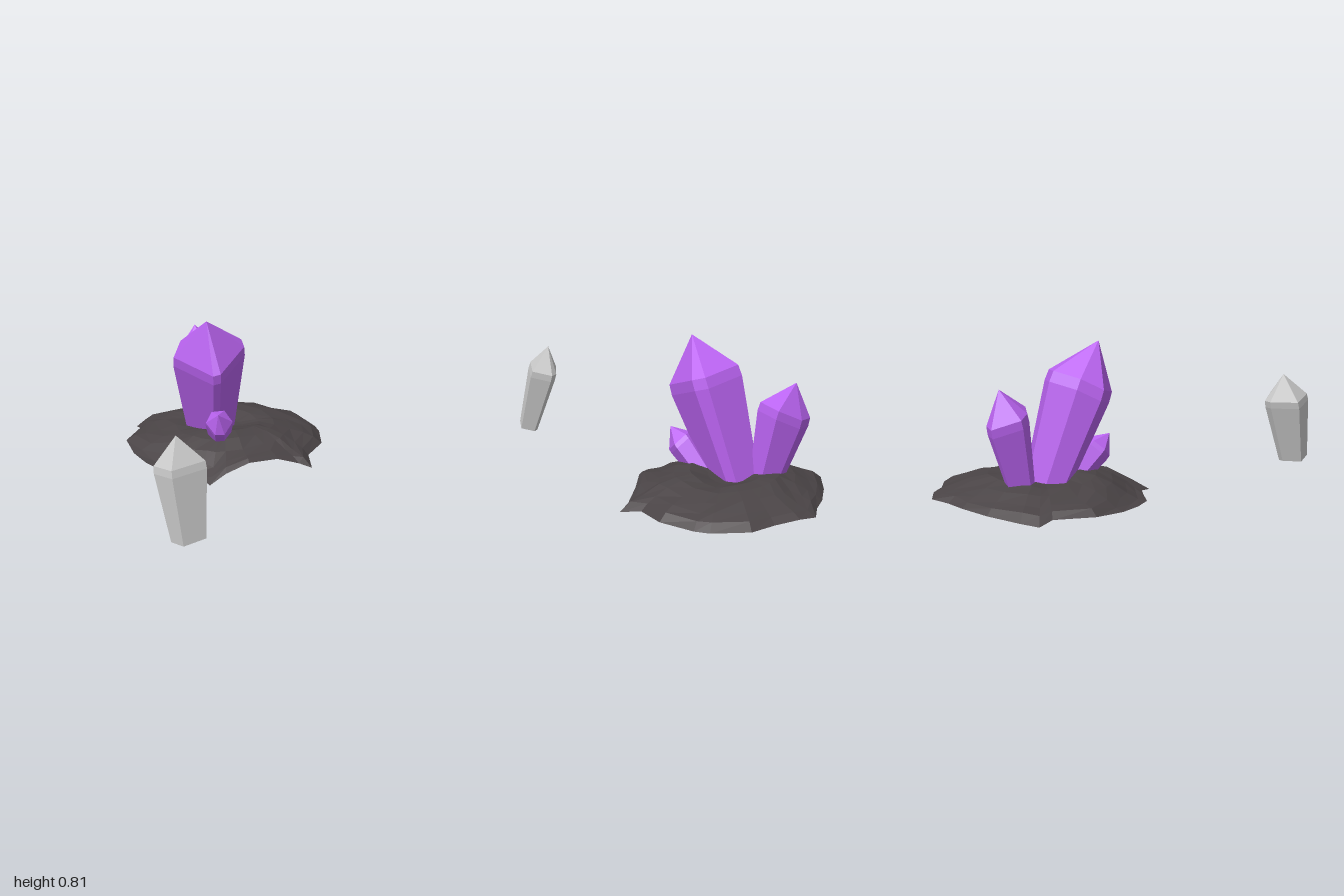
import * as THREE from 'three';

const purple = new THREE.MeshStandardMaterial({ color: 0xbb64f2, flatShading: true });
const grey = new THREE.MeshStandardMaterial({ color: 0xcccccc, flatShading: true });
const stone = new THREE.MeshStandardMaterial({ color: 0x4a4446, flatShading: true, side: THREE.DoubleSide });

function buildMesh(name, points, faces, material) {
  const geometry = new THREE.BufferGeometry();
  geometry.setAttribute('position', new THREE.Float32BufferAttribute(points.flat(), 3));
  geometry.setIndex(faces.flat());
  const flat = geometry.toNonIndexed();
  flat.computeVertexNormals();
  const mesh = new THREE.Mesh(flat, material);
  mesh.name = name;
  return mesh;
}

// Pointed crystal: apex, shoulder ring, slightly wider belt just below it, and a narrow foot
function crystal(name, material, apex, ring, foot, footScale) {
  const n = ring.length;
  const centre = [0, 1, 2].map(k => ring.reduce((sum, p) => sum + p[k], 0) / n);
  const section = (t, scale) => ring.map(p => p.map((v, k) =>
    THREE.MathUtils.lerp(centre[k], foot[k], t) + (v - centre[k]) * scale));
  const faces = [];
  for (let i = 0; i < n; i++) {
    const j = (i + 1) % n;
    faces.push([i, j, 3 * n], [2 * n + j, 2 * n + i, 3 * n + 1]);
    for (const r of [0, n]) faces.push([r + n + i, r + n + j, r + j], [r + n + i, r + j, r + i]);
  }
  return buildMesh(name, [...ring, ...section(0.1, 1.02), ...section(1, footScale), apex, foot], faces, material);
}

// Thin domed rock: the ragged rim shrinks ring by ring towards a sunken middle
function rockBase() {
  const rim = [
    [-0.555, 0.045, -0.48], [-0.52, 0.035, -0.31], [-0.46, 0.03, -0.18], [-0.385, 0.025, -0.08],
    [-0.28, 0.025, -0.03], [-0.19, 0.02, 0.02], [-0.14, 0.005, 0.10], [-0.05, 0.045, 0.05],
    [0.08, 0.08, 0], [0.24, 0.07, -0.06], [0.36, 0.03, -0.08], [0.43, 0.005, -0.07],
    [0.43, 0.03, -0.19], [0.53, 0.035, -0.34], [0.55, 0.03, -0.53], [0.54, 0.03, -0.61],
    [0.46, 0.04, -0.79], [0.34, 0.045, -0.86], [0.24, 0.055, -0.95], [0.155, 0.045, -1.0],
    [0.04, 0.045, -0.965], [-0.08, 0.045, -0.95], [-0.25, 0.04, -0.90], [-0.43, 0.035, -0.82],
    [-0.485, 0.02, -0.75], [-0.47, 0.04, -0.67],
  ];
  const n = rim.length, middle = [0, 0.11, -0.46];
  // [fraction of the rim radius, dome height, share of the rim height]
  const rings = [[1, 0, 1], [0.92, 0.048, 0.6], [0.82, 0.078, 0.3], [0.68, 0.115, 0], [0.52, 0.14, 0], [0.36, 0.145, 0], [0.18, 0.133, 0]];
  const points = [], faces = [];
  for (const [t, height, share] of rings) {
    for (const p of rim) {
      // inner rings are pulled towards an even circle so the rim spikes fade out
      const dx = p[0], dz = p[2] - middle[2];
      const radius = THREE.MathUtils.lerp(0.53, Math.hypot(dx, dz), t ** 3) * t;
      const angle = Math.atan2(dz, dx);
      const x = Math.cos(angle) * radius, z = middle[2] + Math.sin(angle) * radius;
      // small lumps, a shallow valley from side to side, and a lower front left quarter
      const lumps = t < 1 ? 0.006 * Math.sin(x * 23 + 1) * Math.cos(z * 27) : 0;
      const valley = 0.025 * (1 - t) * Math.cos((z + 0.5) * 4 * Math.PI);
      const slope = t < 1 ? 0.25 * Math.max(0, -x) * Math.max(0, z + 0.5) : 0;
      points.push([x, height + p[1] * share + lumps - valley - slope, z]);
    }
  }
  points.push(middle);
  for (let r = 0; r < rings.length; r++) {
    for (let i = 0; i < n; i++) {
      const j = (i + 1) % n, a = r * n + i, b = r * n + j;
      if (r === rings.length - 1) faces.push([a, b, points.length - 1]);
      else faces.push([a, b, b + n], [a, b + n, a + n]);
    }
  }
  return buildMesh('rockBase', points, faces, stone);
}

export function createModel() {
  const group = new THREE.Group();
  group.name = 'crystalCluster';
  group.add(rockBase());

  // Tall crystal leaning forward
  group.add(crystal('largeCrystal', purple, [-0.125, 0.81, -0.2], [
    [-0.295, 0.592, -0.275], [-0.10, 0.535, -0.105], [-0.06, 0.545, -0.105], [0.087, 0.63, -0.30],
    [0.08, 0.65, -0.37], [-0.125, 0.68, -0.46], [-0.25, 0.65, -0.38],
  ], [-0.07, 0.08, -0.48], 0.68));

  // Medium crystal leaning back
  group.add(crystal('rearCrystal', purple, [-0.14, 0.62, -0.77], [
    [-0.25, 0.48, -0.71], [-0.20, 0.50, -0.65], [-0.09, 0.51, -0.60], [-0.01, 0.50, -0.73],
    [-0.10, 0.44, -0.82], [-0.18, 0.435, -0.835],
  ], [-0.11, 0.04, -0.62], 0.58));

  // Small crystal leaning out at the front
  group.add(crystal('smallCrystal', purple, [-0.075, 0.317, -0.105], [
    [-0.135, 0.25, -0.17], [-0.09, 0.20, -0.115], [-0.04, 0.20, -0.115], [0.01, 0.25, -0.17],
    [-0.03, 0.30, -0.215], [-0.10, 0.295, -0.215],
  ], [-0.045, 0.07, -0.33], 0.75));

  // Separate loose crystal
  group.add(crystal('looseCrystal', grey, [-0.36, 0.58, 0.805], [
    [-0.465, 0.44, 0.82], [-0.39, 0.465, 0.945], [-0.227, 0.46, 0.83],
    [-0.29, 0.43, 0.74], [-0.335, 0.43, 0.74],
  ], [-0.312, 0.10, 0.91], 0.68));

  return group;
}
